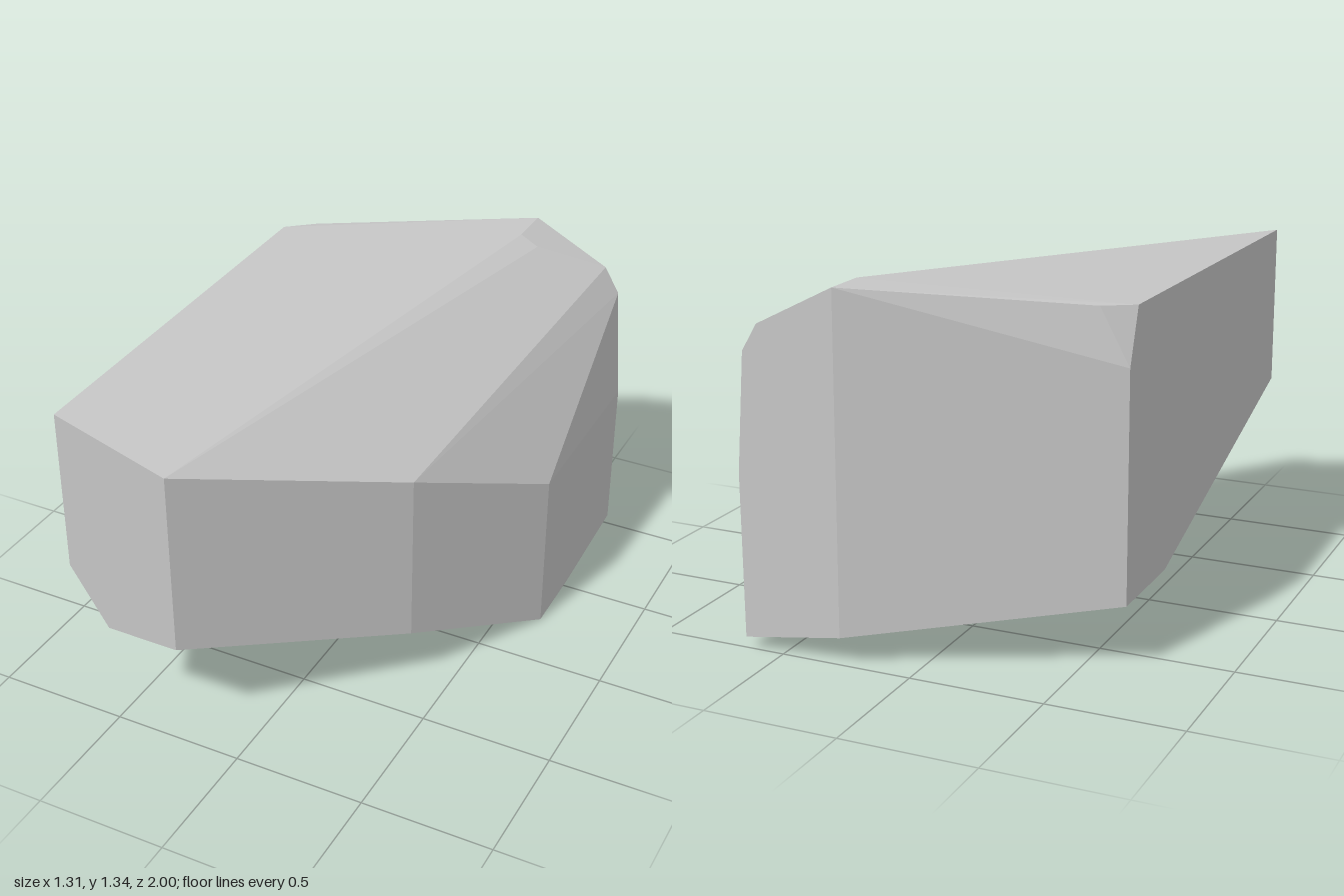
import * as THREE from 'three';
import { ConvexGeometry } from 'three/addons/geometries/ConvexGeometry.js';

export function createModel() {
  const group = new THREE.Group();
  group.name = 'boulder';

  const stone = new THREE.MeshStandardMaterial({ color: 0xc6c6c6 });
  stone.name = 'light grey stone';

  // Corners of the faceted boulder, wrapped in a convex hull
  const corners = [
    // front facet
    [-0.655, 1.26, 1], [-0.23, 1.13, 1], [-0.23, 0.41, 1], [-0.51, 0.41, 1], [-0.655, 0.64, 1],
    // slanted side on +x
    [0.365, 0.9, 0.33], [0.365, 0.23, 0.33], [0.655, 0.64, -0.25], [0.655, 0, -0.25], [0.652, 0, -0.53],
    // back facet
    [0.26, 1.34, -1], [0.555, 1.19, -1], [0.615, 1.09, -1],
    [0.65, 0.65, -1], [0.65, 0.04, -1], [0.27, 0.1, -1],
    // flat side on -x
    [-0.655, 1.28, -0.58], [-0.655, 1.08, -0.65], [-0.655, 0.24, -0.65], [-0.655, 0.24, -0.27],
    // top ridge
    [0.26, 1.34, -0.83], [0.33, 1.303, -0.83], [-0.55, 1.283, -0.66],
    // underside
    [-0.19, 0.11, -0.21], [-0.22, 0.13, -0.6], [0.54, 0, -0.55],
  ].map((p) => new THREE.Vector3(...p));

  const rock = new THREE.Mesh(new ConvexGeometry(corners), stone);
  rock.name = 'rock';
  group.add(rock);
  return group;
}
